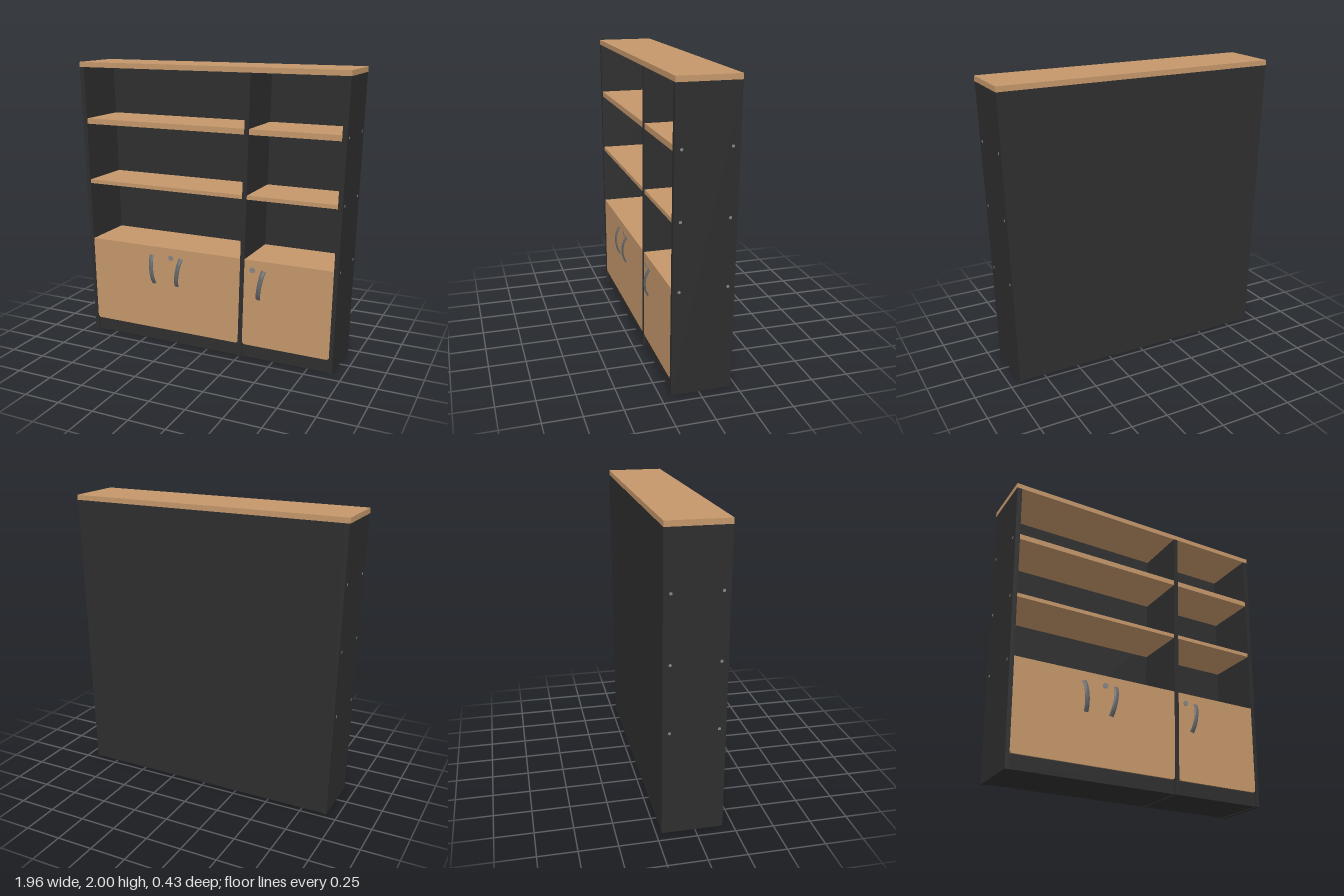
import * as THREE from 'three';

const mat = (name, color, extra = {}) => Object.assign(new THREE.MeshStandardMaterial({ color, ...extra }), { name });

export function createModel() {
  const wood = mat('wood', 0xc4976a);
  const dark = mat('charcoal', 0x2e2e2e);
  const steel = mat('steel', 0x66696c);
  const grey = mat('screw grey', 0x858585);
  const model = new THREE.Group();
  const BACK = -0.215, FRONT = 0.183;

  const add = (name, geometry, material) => {
    const mesh = new THREE.Mesh(geometry, material);
    mesh.name = name;
    model.add(mesh);
    return mesh;
  };
  // Straight prism: outline in x/y, pushed from z0 to z1
  const prism = (name, pts, z0, z1, material) => {
    const shape = new THREE.Shape(pts.map(p => new THREE.Vector2(...p)));
    const g = new THREE.ExtrudeGeometry(shape, { depth: z1 - z0, bevelEnabled: false });
    return add(name, g.translate(0, 0, z0), material);
  };

  // Leaning lines of the carcass: x at height y
  const lean = (bottom, top) => y => bottom + (top - bottom) * y / 1.965;
  const outer = lean(0.926, 0.975), inner = lean(0.9, 0.94);
  const divL = lean(0.242, 0.29), divR = lean(0.273, 0.321);
  const slab = (name, a, b, y0, y1, z0, z1, m) =>
    prism(name, [[a(y0), y0], [b(y0), y0], [b(y1), y1], [a(y1), y1]], z0, z1, m);
  const neg = f => y => -f(y);

  // Carcass
  slab('leftSide', inner, outer, 0, 1.965, BACK, FRONT, dark);
  slab('rightSide', neg(outer), neg(inner), 0, 1.965, BACK, FRONT, dark);
  slab('divider', divL, divR, 0, 1.965, BACK + 0.01, FRONT, dark);
  slab('backPanel', neg(inner), inner, 0.005, 1.965, BACK, BACK + 0.012, dark);
  add('topBoard', new THREE.BoxGeometry(1.955, 0.035, FRONT - BACK), wood)
    .position.set(0, 1.9825, (FRONT + BACK) / 2);

  // Shelves, plinths and doors of the two bays
  const bays = [['wide', neg(inner), divL], ['narrow', divR, inner]];
  for (const [bay, a, b] of bays) {
    slab(bay + 'UpperShelf', a, b, 1.567, 1.605, BACK + 0.012, FRONT - 0.005, wood);
    slab(bay + 'MiddleShelf', a, b, 1.135, 1.162, BACK + 0.012, FRONT - 0.005, wood);
    slab(bay + 'CabinetTop', a, b, 0.685, 0.72, BACK + 0.012, FRONT - 0.022, wood);
    slab(bay + 'Plinth', a, b, 0.005, 0.1, BACK + 0.012, FRONT - 0.014, dark);
    const y0 = 0.1, y1 = 0.72, c = 0.014;
    prism(bay + 'Door', [
      [a(y0) + c, y0], [b(y0) - c, y0], [b(y0), y0 + c], [b(y1), y1], [a(y1), y1], [a(y0), y0 + c],
    ], FRONT - 0.022, FRONT - 0.003, wood);
  }

  // Bowed handles, flat and slightly tilted
  const arc = new THREE.CatmullRomCurve3([
    [-0.105, 0], [-0.06, 0.021], [0, 0.029], [0.06, 0.021], [0.105, 0],
  ].map(([y, z]) => new THREE.Vector3(0, y, z)));
  const handleGeo = new THREE.TubeGeometry(arc, 24, 0.0065, 12).scale(2.5, 1, 1);
  for (const [x, tilt] of [[-0.42, 0.08], [-0.214, -0.17], [0.41, -0.18]]) {
    const handle = add('handle', handleGeo, steel);
    handle.position.set(x, 0.55, FRONT - 0.003);
    handle.rotation.z = tilt;
  }

  // Door locks
  const lockGeo = new THREE.CylinderGeometry(0.019, 0.019, 0.006, 20).rotateX(Math.PI / 2);
  for (const x of [-0.275, 0.348]) add('lock', lockGeo, grey).position.set(x, 0.65, FRONT - 0.003);

  // Shelf screws, almost flush with the sides
  const screwGeo = new THREE.CylinderGeometry(0.01, 0.01, 0.006, 10).rotateZ(Math.PI / 2);
  for (const side of [-1, 1])
    for (const y of [0.705, 1.15, 1.585])
      for (const z of [-0.17, 0.14])
        add('shelfScrew', screwGeo, grey).position.set(side * (outer(y) - 0.002), y, z);

  return model;
}
